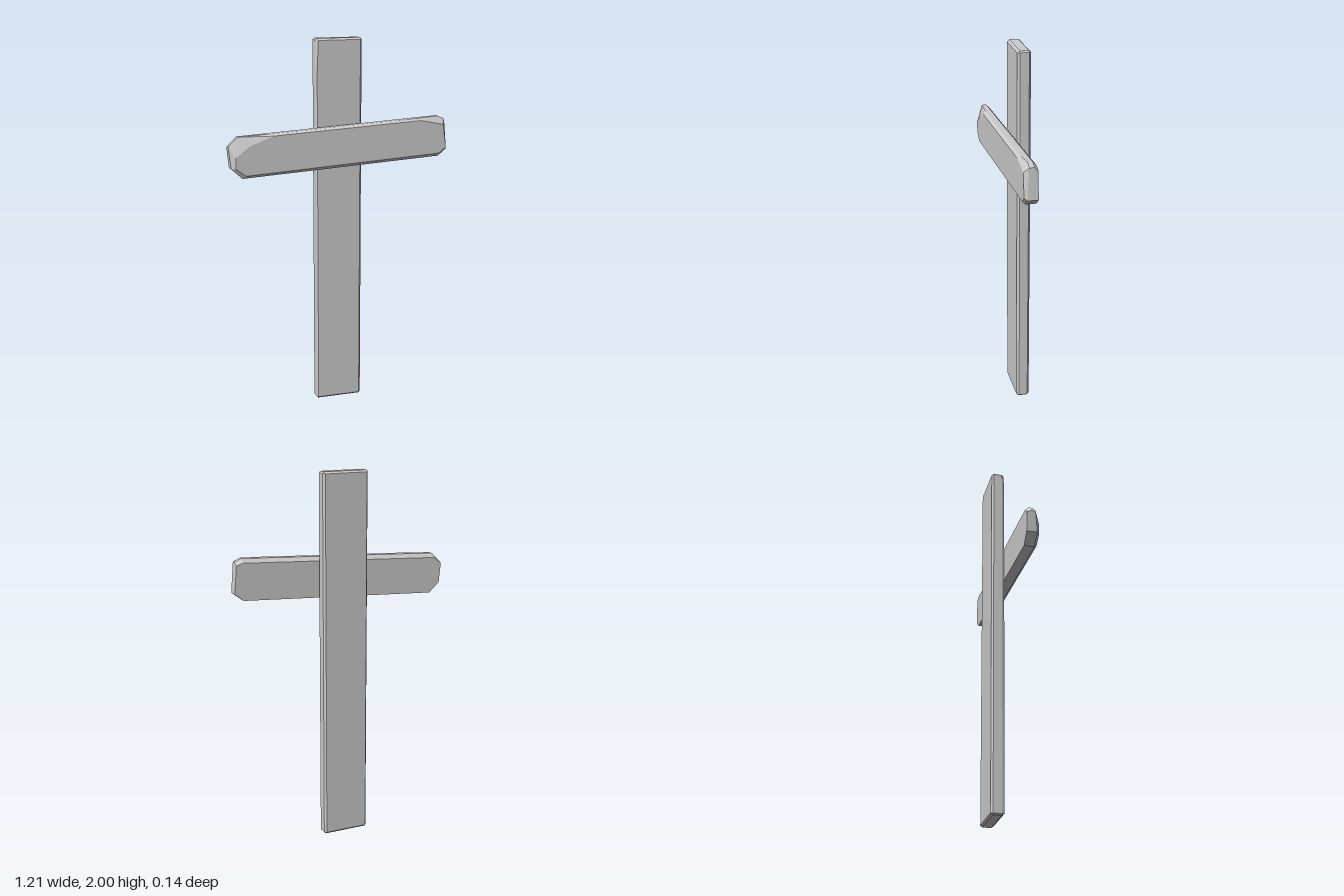
import * as THREE from 'three';
import { ConvexGeometry } from 'three/addons/geometries/ConvexGeometry.js';

const material = new THREE.MeshStandardMaterial({ color: 0xcccccc, flatShading: true });

// Solid plank from outlines [x, y] placed at given depths.
function plank(name, points) {
  const mesh = new THREE.Mesh(new ConvexGeometry(points), material);
  mesh.name = name;
  return mesh;
}

const layer = (z, outline) => outline.map(([x, y]) => new THREE.Vector3(x, y, z));

// Rectangle outline with cut corners.
function cutRect(x0, x1, y0, y1, c) {
  return [[x0 + c, y0], [x1 - c, y0], [x1, y0 + c], [x1, y1 - c],
    [x1 - c, y1], [x0 + c, y1], [x0, y1 - c], [x0, y0 + c]];
}

export function createModel() {
  const group = new THREE.Group();
  group.name = 'woodenCross';

  // Upright: narrow bevel on all edges, front left edge worn near the top
  const body = cutRect(-0.12, 0.135, 0, 2, 0.008);
  group.add(plank('upright', [
    ...layer(-0.073, [[-0.112, 0.01], [0.124, 0.01], [0.124, 1.99], [-0.112, 1.99]]),
    ...layer(-0.062, body),
    ...layer(-0.015, body),
    ...layer(-0.002, [[-0.114, 0.01], [0.124, 0.01], [0.124, 1.99], [-0.107, 1.99], [-0.114, 1.82]]),
  ]));

  // Crossbar: tilted, with hacked-off corners
  const lower = [[0.6, 1.394], [0.553, 1.357], [-0.537, 1.299], [-0.595, 1.352]];
  group.add(plank('crossbar', [
    // back face
    ...layer(0, [[-0.606, 1.46], [-0.56, 1.494], [0.553, 1.553], [0.588, 1.54], ...lower]),
    // full outline
    ...layer(0.02, [[-0.607, 1.468], [-0.558, 1.516], [0.553, 1.574], [0.59, 1.558]]),
    ...layer(0.045, [[-0.607, 1.468], [-0.558, 1.516], [0.553, 1.574], [0.59, 1.558]]),
    ...layer(0.055, [...lower, [-0.41, 1.524], [0.46, 1.569]]),
    // front face
    ...layer(0.071, [[-0.373, 1.516], [-0.5, 1.468], [-0.574, 1.41], [-0.574, 1.355],
      [-0.521, 1.315], [0.553, 1.374], [0.593, 1.405], [0.574, 1.53], [0.442, 1.557]]),
  ]));

  return group;
}
